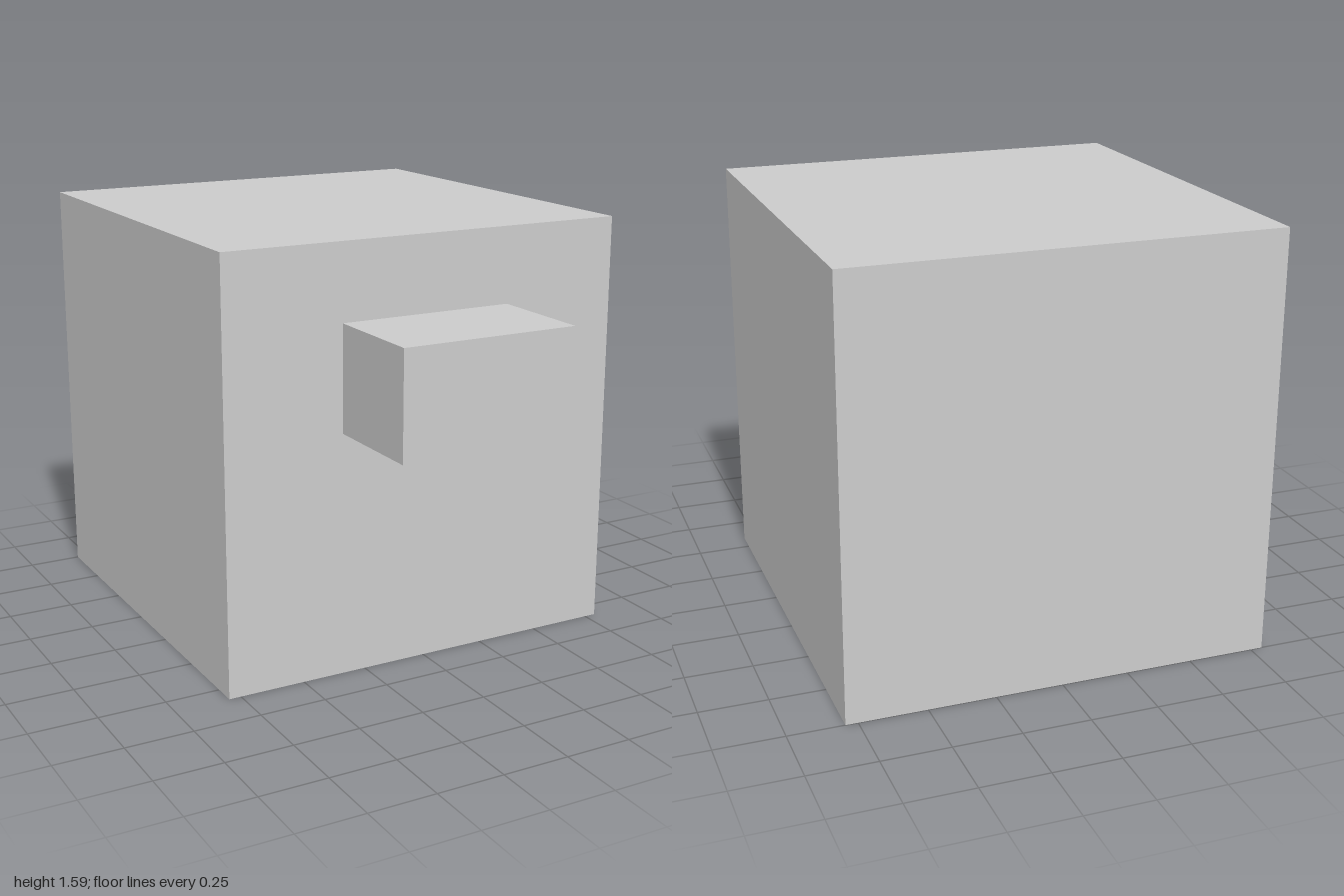
import * as THREE from 'three';

const material = new THREE.MeshStandardMaterial({ color: 0xcccccc, flatShading: true });

// Box given by its minimum and maximum corners
function box(name, min, max) {
  const size = max.map((v, i) => v - min[i]);
  const mesh = new THREE.Mesh(new THREE.BoxGeometry(...size), material);
  mesh.position.set(...max.map((v, i) => (v + min[i]) / 2));
  mesh.name = name;
  return mesh;
}

export function createModel() {
  const model = new THREE.Group();
  model.name = 'cubeWithBlock';

  // Large cube standing on the ground
  model.add(box('body', [-0.795, 0, -1], [0.795, 1.59, 0.587]));

  // Small block projecting from the upper front face
  model.add(box('frontBlock', [-0.34, 0.91, 0.587], [0.336, 1.305, 1]));

  return model;
}
